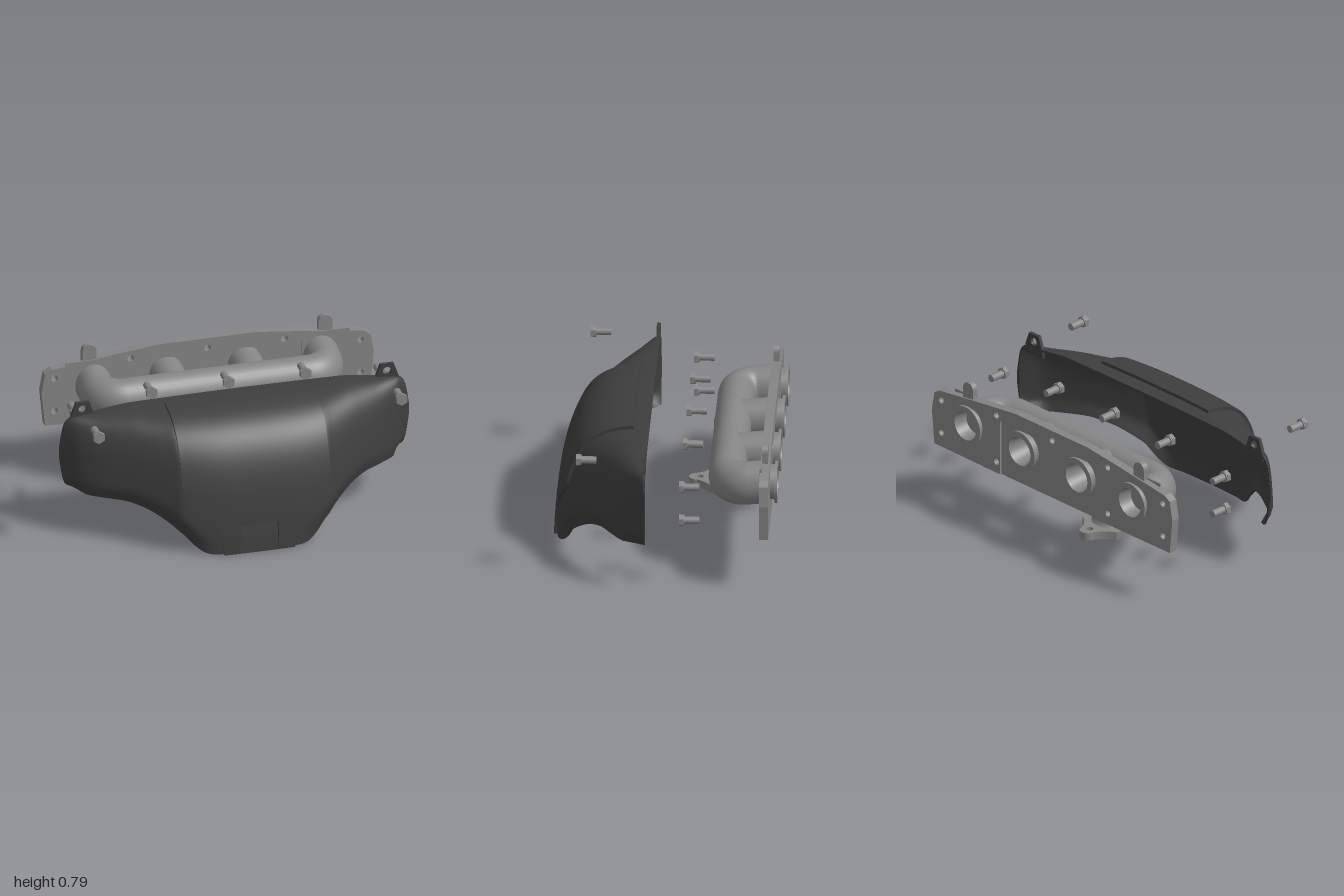
import * as THREE from 'three';
import { toCreasedNormals } from 'three/addons/utils/BufferGeometryUtils.js';

const steel = new THREE.MeshStandardMaterial({ color: 0x858585, side: THREE.DoubleSide });
const headSteel = steel.clone();
headSteel.flatShading = true;
const dark = new THREE.MeshStandardMaterial({ color: 0x3e3e3e, side: THREE.DoubleSide });
const CX = 0.025; // middle of the manifold
const V2 = (x, y) => new THREE.Vector2(x, y);
const V3 = (x, y, z) => new THREE.Vector3(x, y, z);
const smoothstep = THREE.MathUtils.smoothstep;

function add(parent, name, geometry, material, x = 0, y = 0, z = 0) {
  const mesh = new THREE.Mesh(geometry, material);
  mesh.name = name;
  mesh.position.set(x, y, z);
  parent.add(mesh);
}

// Smooth monotone lookup in [x, value] pairs
function lookup(table, x) {
  const n = table.length - 1;
  const slope = i => (table[i + 1][1] - table[i][1]) / (table[i + 1][0] - table[i][0]);
  const tangent = i => {
    if (i === 0) return 0;
    if (i === n) return slope(n - 1);
    const a = slope(i - 1), b = slope(i);
    return a * b > 0 ? 2 * a * b / (a + b) : 0;
  };
  let i = 0;
  while (i < n - 1 && x > table[i + 1][0]) i++;
  const h = table[i + 1][0] - table[i][0], t = Math.min(1, (x - table[i][0]) / h), u = 1 - t;
  return table[i][1] * u * u * (1 + 2 * t) + table[i + 1][1] * t * t * (3 - 2 * t)
    + h * t * u * (tangent(i) * u - tangent(i + 1) * t);
}

// Closed sheet from rows of points, pushed out and in along the normals
function sheet(rows, out, inn) {
  const n = rows[0].length, m = rows.length, base = rows.flat(), idx = [];
  for (let j = 0; j < m - 1; j++) for (let i = 0; i < n - 1; i++) {
    const a = j * n + i;
    idx.push(a, a + 1, a + n + 1, a, a + n + 1, a + n);
  }
  const g = new THREE.BufferGeometry().setFromPoints(base);
  g.setIndex(idx);
  g.computeVertexNormals();
  const normals = base.map((p, i) => V3().fromBufferAttribute(g.attributes.normal, i));
  const front = base.map((p, i) => p.clone().addScaledVector(normals[i], out(p)));
  const back = base.map((p, i) => p.clone().addScaledVector(normals[i], -inn).max(V3(-2, 0, 0.088)));
  const N = n * m, all = idx.slice();
  for (let k = 0; k < idx.length; k += 3) all.push(idx[k] + N, idx[k + 2] + N, idx[k + 1] + N);
  const rim = (a, b) => all.push(a, a + N, b + N, a, b + N, b);
  for (let i = 0; i < n - 1; i++) { rim(i, i + 1); rim(N - 1 - i, N - 2 - i); }
  for (let j = 0; j < m - 1; j++) { rim((j + 1) * n, j * n); rim(j * n + n - 1, (j + 2) * n - 1); }
  const solid = new THREE.BufferGeometry().setFromPoints([...front, ...back]);
  solid.setIndex(all);
  return toCreasedNormals(solid, 0.6);
}

// Shield form: depth, top edge and bottom edge across half the width
const DEPTH = [[0, 0.612], [0.15, 0.61], [0.42, 0.575], [0.46, 0.545], [0.6, 0.44], [0.9, 0.22], [0.97, 0.13], [1, 0.09]];
const TOP = [[0, 0.745], [0.6, 0.74], [0.7, 0.73], [0.8, 0.715], [0.93, 0.7], [0.96, 0.68], [0.98, 0.64], [1, 0.52]];
const BOTTOM = [[0, 0], [0.25, 0], [0.3, 0.01], [0.35, 0.045], [0.4, 0.1], [0.5, 0.185], [0.6, 0.24],
  [0.7, 0.265], [0.93, 0.27], [0.96, 0.28], [0.98, 0.32], [1, 0.45]];
const PANEL = [[0, 0.2], [0.13, 0.23], [0.25, 0.28], [0.34, 0.375], [0.38, 0.41], [0.42, 0.42], [1, 0.42]];

function shieldPoint(x, drop) {
  const ax = Math.abs(x), top = lookup(TOP, ax), r = Math.min(1, Math.sqrt(drop) / 0.87);
  const bulge = 1 - Math.pow(1 - r, 3.1 - 1.4 * r);
  // the lower edge curls inward, and fully to the rear plane at the outer corners
  const low = smoothstep(drop / (top - lookup(BOTTOM, ax)), 0.8, 1);
  const curl = low * low * (0.1 * smoothstep(ax, 0.22, 0.42) + 0.9 * smoothstep(ax, 0.87, 0.95));
  return V3(x, top - drop, 0.09 + (lookup(DEPTH, ax) - 0.09) * bulge * (1 - curl));
}

function makeShield() {
  const shield = new THREE.Group();
  shield.name = 'heatShield';
  const half = [];
  for (let i = 0; i <= 45; i++) half.push(i * 0.02);
  half.push(0.915, 0.93, 0.945, 0.96, 0.97, 0.98, 0.99, 1);
  const xs = [...half.slice(1).reverse().map(x => -x), ...half];
  const rows = [];
  for (let j = 36; j >= 0; j--) rows.push(xs.map(x => {
    const ax = Math.abs(x);
    return shieldPoint(x, (lookup(TOP, ax) - lookup(BOTTOM, ax)) * (j / 36) ** 2);
  }));
  add(shield, 'shieldShell', sheet(rows, () => 0, 0.014), dark);

  // Raised centre panel with a notch that fades out towards the bottom
  const drops = [0.579, 0.581];
  for (let j = 2; j <= 32; j++) drops.push(0.745 * (j / 32) ** 2);
  drops.sort((a, b) => b - a);
  const panelRows = drops.map(d => {
    const w = lookup(PANEL, 0.745 - d), side = [];
    for (let i = 0; i <= 8; i++) side.push(0.105 + (w - 0.105) * i / 8);
    side.splice(1, 0, 0.107);
    const cols = [...side.slice().reverse().map(x => -x), -0.05, 0, 0.05, ...side];
    return cols.map(x => shieldPoint(x, d));
  });
  const notch = p => (Math.abs(p.x) < 0.106 && p.y < 0.165 ? 0.018 - 0.07 * p.y : 0.018);
  add(shield, 'centrePanel', sheet(panelRows, notch, 0.004), dark);

  // Mounting ears
  for (const s of [-1, 1]) {
    const ear = outline([[-0.07, 0.66], [0.07, 0.66], [0.065, 0.71], [0.038, 0.785], [-0.038, 0.785], [-0.065, 0.71]]);
    punch(ear, 0, 0.742, 0.024);
    add(shield, 'mountingEar', slab(ear, 0.09, 0.11), dark, s * 0.87);
  }
  return shield;
}

function outline(points) {
  return new THREE.Shape(points.map(([x, y]) => V2(x, y)));
}
function punch(shape, x, y, r) {
  shape.holes.push(new THREE.Path().absarc(x, y, r, 0, Math.PI * 2, true));
}
function slab(shape, z0, z1) {
  return new THREE.ExtrudeGeometry(shape, { depth: z1 - z0, bevelEnabled: false, curveSegments: 20 }).translate(0, 0, z0);
}

const PORTS = [-0.655, -0.235, 0.215, 0.645];
const HOLES = [[0, 0.68], [-0.44, 0.675], [0.44, 0.675], [-0.875, 0.61], [0.875, 0.61],
  [-0.875, 0.41], [0.875, 0.41], [-0.44, 0.39], [0.44, 0.39]];

// Port plate layer; a recess half width leaves an opening up from the bottom edge
function plateLayer(recess) {
  const right = recess ? [[recess, 0.65], [recess, 0.322]] : [[0.4, 0.32]];
  right.push([0.93, 0.325], [0.95, 0.53], [0.93, 0.64], [0.89, 0.665], [0.5, 0.715], [0.28, 0.74]);
  const shape = outline([...right, ...right.slice().reverse().map(([x, y]) => [-x, y])]);
  for (const x of PORTS) if (Math.abs(x) > recess) punch(shape, x, 0.55, 0.085);
  for (const [x, y] of HOLES) if (Math.abs(x) > recess || y > 0.66) punch(shape, x, y, 0.019);
  return shape;
}

function makeManifold() {
  const manifold = new THREE.Group();
  manifold.name = 'manifold';

  add(manifold, 'portPlate', slab(plateLayer(0), -0.578, -0.55), steel, CX);
  add(manifold, 'portPlateRearPad', slab(plateLayer(0.41), -0.59, -0.578), steel, CX);
  add(manifold, 'portPlateFrontPad', slab(plateLayer(0.79), -0.55, -0.54), steel, CX);

  // Rear collars with deep open bores
  const ring = [[0.096, 0.03], [0.096, 0.075], [0.117, 0.075], [0.117, 0.09], [0.085, 0.09], [0.078, 0.06], [0.066, -0.06]];
  const collar = toCreasedNormals(new THREE.LatheGeometry(ring.map(p => V2(...p)), 40), 0.5).rotateX(-Math.PI / 2);
  for (const x of PORTS) add(manifold, 'portCollar', collar, steel, CX + x, 0.55, -0.54);

  // Main log pipe, bent back at both ends into the outer ports
  const path = new THREE.CurvePath(), zl = -0.345, a = PORTS[0], b = PORTS[3], up = 0.017;
  path.add(new THREE.LineCurve3(V3(a, up, -0.58), V3(a, 0.008, -0.47)));
  path.add(new THREE.CubicBezierCurve3(V3(a, 0.008, -0.47), V3(a, 0, -0.4), V3(a + 0.055, 0, zl), V3(a + 0.125, 0, zl)));
  path.add(new THREE.LineCurve3(V3(a + 0.125, 0, zl), V3(b - 0.125, 0, zl)));
  path.add(new THREE.CubicBezierCurve3(V3(b - 0.125, 0, zl), V3(b - 0.055, 0, zl), V3(b, 0, -0.4), V3(b, 0.008, -0.47)));
  path.add(new THREE.LineCurve3(V3(b, 0.008, -0.47), V3(b, up, -0.58)));
  add(manifold, 'logPipe', new THREE.TubeGeometry(path, 140, 0.102, 32, false).scale(1, 1.2, 1), steel, CX, 0.53);

  // Inner runners
  for (const x of PORTS.slice(1, 3)) {
    const run = new THREE.LineCurve3(V3(x, 0, zl - 0.03), V3(x, up, -0.58));
    add(manifold, 'runner', new THREE.TubeGeometry(run, 4, 0.098, 32, false).scale(1, 1.12, 1), steel, CX, 0.53);
  }

  // Outlet pipe with a flared foot, ending inside the log
  const outlet = [[0.12, 0.18], [0.107, 0.195], [0.1, 0.215], [0.1, 0.53], [0.08, 0.58], [0.04, 0.615], [0, 0.625]];
  add(manifold, 'outletPipe', new THREE.LatheGeometry(outlet.map(p => V2(...p)), 36), steel, -0.19, 0, -0.338);
  add(manifold, 'outletBore', new THREE.CylinderGeometry(0.065, 0.065, 0.3, 32, 1, true), steel, -0.19, 0.292, -0.338);

  // Two-bolt outlet flange
  const foot = new THREE.Shape();
  foot.moveTo(0.155, -0.06);
  foot.lineTo(0.155, 0.06);
  foot.lineTo(0.135, 0.1);
  foot.quadraticCurveTo(0.07, 0.135, 0.045, 0.19);
  foot.absarc(0, 0.19, 0.045, 0, Math.PI, false);
  foot.quadraticCurveTo(-0.07, 0.135, -0.135, 0.1);
  foot.lineTo(-0.155, 0.06);
  foot.lineTo(-0.155, -0.06);
  foot.lineTo(-0.135, -0.1);
  foot.quadraticCurveTo(-0.07, -0.135, -0.045, -0.19);
  foot.absarc(0, -0.19, 0.045, Math.PI, Math.PI * 2, false);
  foot.quadraticCurveTo(0.07, -0.135, 0.135, -0.1);
  punch(foot, 0, 0, 0.065);
  for (const s of [-1, 1]) punch(foot, 0, s * 0.175, 0.02);
  add(manifold, 'outletFlange', slab(foot, 0, 0.046).rotateX(-Math.PI / 2), steel, -0.19, 0.14, -0.335);

  // Lifting lugs standing on pads around the outer ports
  for (const x of [-0.65, 0.7]) {
    const lug = new THREE.Shape();
    lug.moveTo(-0.04, 0.62);
    lug.lineTo(0.04, 0.62);
    lug.absarc(0, 0.747, 0.04, 0, Math.PI, false);
    add(manifold, 'liftingLug', slab(lug, -0.58, -0.545), steel, x);
    add(manifold, 'lugPad', new THREE.BoxGeometry(0.27, 0.36, 0.012), steel, x, 0.515, -0.544);
  }
  return manifold;
}

// Hex bolt pointing back, head at the front; z is the head's face
function makeBolt(x, y, z) {
  const bolt = new THREE.Group();
  bolt.name = 'bolt';
  const rod = (name, r, length, sides, mid, material) =>
    add(bolt, name, new THREE.CylinderGeometry(r, r, length, sides).rotateX(Math.PI / 2), material, 0, 0, mid);
  rod('boltHead', 0.035, 0.024, 6, -0.012, headSteel);
  rod('boltCollar', 0.03, 0.008, 24, -0.026, steel);
  rod('boltShank', 0.021, 0.085, 20, -0.07, steel);
  bolt.position.set(x, y, z);
  return bolt;
}

export function createModel() {
  const model = new THREE.Group();
  model.name = 'exhaustManifoldAssembly';
  model.add(makeShield(), makeManifold());
  for (const [x, y] of HOLES.slice(0, 7)) model.add(makeBolt(CX + x, y, -0.097));
  for (const x of [-0.875, 0.855]) model.add(makeBolt(x, 0.742, 0.473));
  return model;
}
